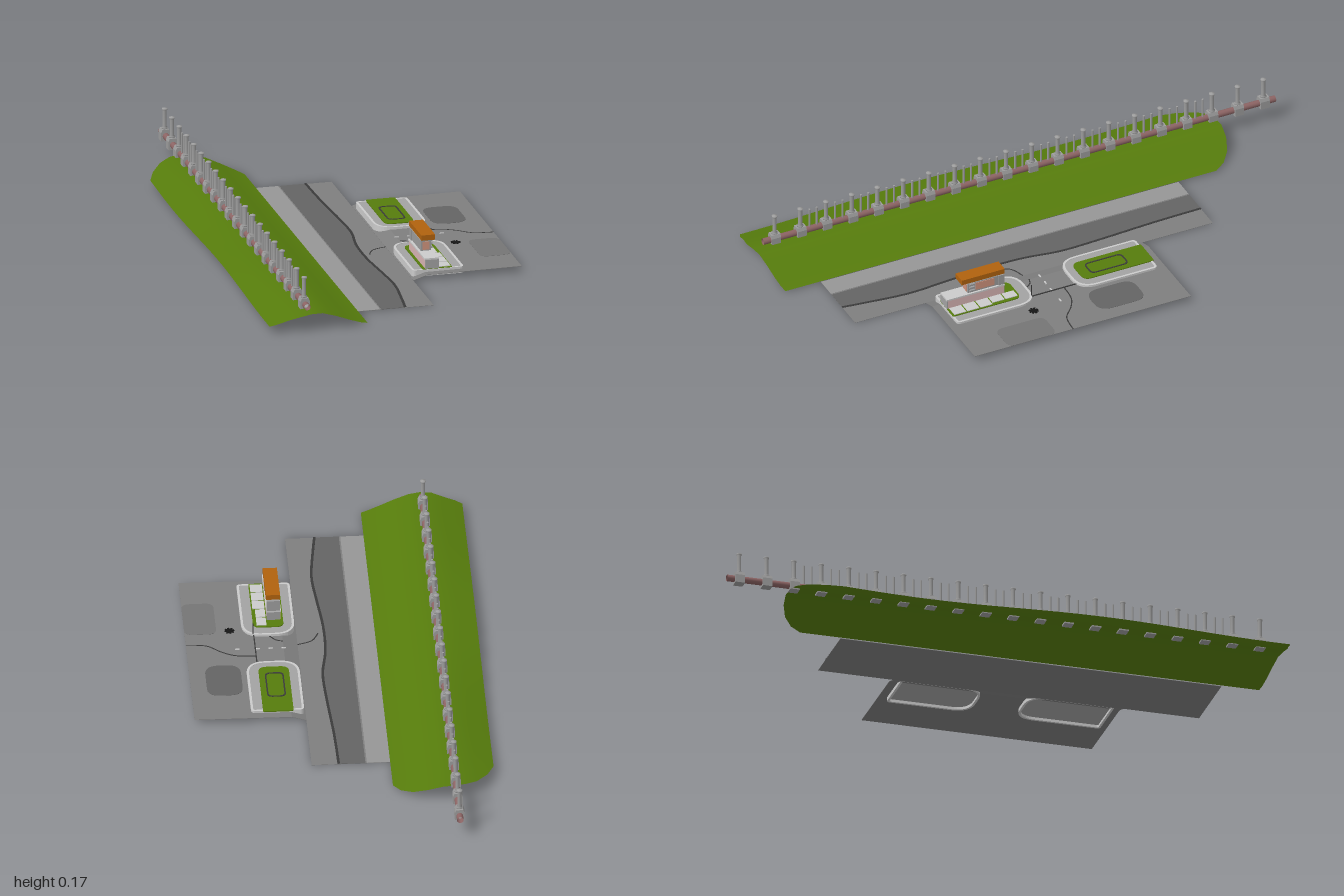
import * as THREE from 'three';

const mat = (color) => new THREE.MeshStandardMaterial({ color, side: THREE.DoubleSide });
const M = {
  grass: mat(0x567c0c), walk: mat(0x969696), road: mat(0x646464), pave: mat(0x7e7e7e),
  line: mat(0x3a3a3a), curb: mat(0xa2a2a2), light: mat(0xcccccc), stone: mat(0x9c9c9c),
  pink: mat(0xd8b4b4), panel: mat(0xcf937c), rail: mat(0x8c6464), roof: mat(0xb0620e), black: mat(0x151515),
};

function add(parent, name, geometry, material, x = 0, y = 0, z = 0) {
  const m = new THREE.Mesh(geometry, material);
  m.name = name;
  m.position.set(x, y, z);
  parent.add(m);
  return m;
}

// box given by its limits
function box(parent, name, material, x0, x1, y0, y1, z0, z1) {
  return add(parent, name, new THREE.BoxGeometry(x1 - x0, y1 - y0, z1 - z0), material,
    (x0 + x1) / 2, (y0 + y1) / 2, (z0 + z1) / 2);
}

// flat slab from a plan outline in x and z, with its upper face at top
function slab(parent, name, material, shape, top, depth = 0.001) {
  const g = new THREE.ExtrudeGeometry(shape, { depth, bevelEnabled: false, curveSegments: 10 });
  g.rotateX(Math.PI / 2);
  return add(parent, name, g, material, 0, top, 0);
}

const outline = (pts) => new THREE.Shape(pts.map(([x, z]) => new THREE.Vector2(x, z)));

// plan rectangle with rounding r0 at its z0 end and r1 at its z1 end
function rounded(x0, x1, z0, z1, r0, r1, Type = THREE.Shape) {
  const s = new Type();
  s.moveTo(x0 + r0, z0);
  s.lineTo(x1 - r0, z0);
  s.quadraticCurveTo(x1, z0, x1, z0 + r0);
  s.lineTo(x1, z1 - r1);
  s.quadraticCurveTo(x1, z1, x1 - r1, z1);
  s.lineTo(x0 + r1, z1);
  s.quadraticCurveTo(x0, z1, x0, z1 - r1);
  s.lineTo(x0, z0 + r0);
  s.quadraticCurveTo(x0, z0, x0 + r0, z0);
  return s;
}

// smooth curve through plan points, and a flat ribbon along it
const smooth = (pts, n = 36) => new THREE.SplineCurve(pts.map(([x, z]) => new THREE.Vector2(x, z))).getPoints(n);
function ribbon(parent, name, material, pts, width, top) {
  const c = smooth(pts);
  const side = (s) => c.map((p, i) => {
    const a = c[Math.max(i - 1, 0)], b = c[Math.min(i + 1, c.length - 1)];
    const d = b.clone().sub(a).normalize().multiplyScalar(s * width / 2);
    return new THREE.Vector2(p.x - d.y, p.y + d.x);
  });
  return slab(parent, name, material, new THREE.Shape([...side(1), ...side(-1).reverse()]), top);
}

// grassy bank: columns of x, height, back end and front end
function bank() {
  const cols = [
    [-0.505, 0.030, -0.62, 0.975], [-0.48, 0.037, -0.68, 0.985], [-0.44, 0.048, -0.735, 0.99],
    [-0.40, 0.058, -0.762, 1.0], [-0.36, 0.062, -0.773, 0.997], [-0.32, 0.060, -0.775, 0.99],
    [-0.27, 0.044, -0.768, 0.985], [-0.22, 0.024, -0.748, 0.98], [-0.18, 0.010, -0.715, 0.975],
    [-0.155, 0.004, -0.675, 0.97],
  ];
  const rows = 24;
  const g = new THREE.PlaneGeometry(1, 1, cols.length - 1, rows);
  const p = g.attributes.position;
  for (let j = 0, k = 0; j <= rows; j++) {
    for (const [x, y, z0, z1] of cols) {
      const z = z0 + (z1 - z0) * j / rows;
      const edge = Math.max(0, (-0.36 - x) / 0.145);
      p.setXYZ(k++, x, y + 0.008 * edge * Math.sin(z * 5), z);
    }
  }
  g.computeVertexNormals();
  return g;
}

export function createModel() {
  const model = new THREE.Group();
  add(model, 'grassBank', bank(), M.grass);

  // road and footpath
  const road = new THREE.Group();
  road.name = 'road';
  model.add(road);
  const Z0 = -0.53, Z1 = 0.835;
  slab(road, 'verge', M.pave, rounded(-0.155, 0.115, Z0, Z1, 0, 0), 0.001);
  slab(road, 'footpath', M.walk, rounded(-0.155, -0.075, Z0, Z1, 0, 0), 0.002);
  const wave = [[0.022, Z0], [0.026, -0.35], [0.038, -0.12], [0.04, 0.02], [0.022, 0.15],
    [0.02, 0.3], [0.033, 0.47], [0.04, 0.6], [0.025, 0.75], [0.014, Z1]];
  const edge = smooth(wave);
  slab(road, 'carriageway', M.road,
    new THREE.Shape([new THREE.Vector2(-0.07, Z0), ...edge, new THREE.Vector2(-0.07, Z1)]), 0.002);
  ribbon(road, 'roadEdge', M.line, wave, 0.009, 0.0035);

  // forecourt with a ramp down to the road
  const court = new THREE.Group();
  court.name = 'forecourt';
  model.add(court);
  const profile = outline([[0.115, 0.002], [0.165, 0.018], [0.5, 0.021], [0.5, 0.0195], [0.165, 0.0165], [0.115, 0.0005]]);
  add(court, 'paving', new THREE.ExtrudeGeometry(profile, { depth: 0.825, bevelEnabled: false }), M.pave, 0, 0, -0.26);
  slab(court, 'darkPatch', M.road, rounded(0.322, 0.445, -0.12, 0.06, 0.045, 0.05), 0.0215);
  slab(court, 'wornPatch', mat(0x757575), rounded(0.39, 0.5, 0.25, 0.435, 0.03, 0.03), 0.0215);
  ribbon(court, 'entryLine', M.line, [[0.26, 0.11], [0.33, 0.115], [0.38, 0.14], [0.43, 0.18], [0.5, 0.19]], 0.004, 0.0218);
  ribbon(road, 'entryEdge', M.line, [[0.04, 0.26], [0.065, 0.215], [0.115, 0.195]], 0.004, 0.003);
  ribbon(court, 'rampEdge', M.line, [[0.165, 0.195], [0.19, 0.205], [0.21, 0.23]], 0.004, 0.02);
  for (const x of [0.165, 0.21, 0.255, 0.325]) {
    box(court, 'laneDash', M.light, x - 0.008, x + 0.008, 0.019, 0.0215, 0.152, 0.157);
  }

  // two kerbed islands, rounded towards the entry
  for (const [name, z0, z1, r0, r1] of [['backIsland', -0.23, 0.068, 0.015, 0.07], ['frontIsland', 0.228, 0.535, 0.07, 0.015]]) {
    const island = new THREE.Group();
    island.name = name;
    model.add(island);
    const b = (t) => [0.12 + t, 0.303 - t, z0 + t, z1 - t, Math.max(r0 - t, 0.005), Math.max(r1 - t, 0.005)];
    const kerb = rounded(...b(0));
    kerb.holes.push(rounded(...b(0.008), THREE.Path));
    slab(island, 'kerb', M.light, kerb, 0.027, 0.023);
    slab(island, 'islandPaving', M.curb, rounded(...b(0.007)), 0.0255, 0.012);
  }
  slab(model, 'lawn', M.grass, rounded(0.157, 0.262, -0.235, 0.032, 0.008, 0.03), 0.0285, 0.004);
  const bed = rounded(0.177, 0.242, -0.15, -0.005, 0.02, 0.02);
  bed.holes.push(rounded(0.182, 0.237, -0.145, -0.01, 0.017, 0.017, THREE.Path));
  slab(model, 'lawnBorder', M.line, bed, 0.03, 0.002);
  slab(model, 'frontLawn', M.grass, rounded(0.157, 0.262, 0.272, 0.533, 0.025, 0.005), 0.0285, 0.004);

  // kiosk: plinth, cabin, roof and paving tiles
  const kiosk = new THREE.Group();
  kiosk.name = 'kiosk';
  model.add(kiosk);
  box(kiosk, 'plinth', M.pink, 0.166, 0.213, 0.025, 0.06, 0.315, 0.53);
  box(kiosk, 'plinthTop', M.light, 0.164, 0.215, 0.06, 0.066, 0.312, 0.533);
  box(kiosk, 'plinthEnd', M.curb, 0.166, 0.214, 0.026, 0.061, 0.528, 0.533);
  box(kiosk, 'cabin', M.stone, 0.172, 0.208, 0.066, 0.106, 0.335, 0.45);
  box(kiosk, 'frontPanel', M.panel, 0.178, 0.202, 0.07, 0.098, 0.449, 0.453);
  box(kiosk, 'sidePanel', M.panel, 0.206, 0.21, 0.072, 0.1, 0.35, 0.42);
  box(kiosk, 'rearWall', M.stone, 0.168, 0.213, 0.026, 0.106, 0.312, 0.335);
  box(kiosk, 'cabinTop', M.light, 0.17, 0.212, 0.106, 0.112, 0.33, 0.455);
  box(kiosk, 'roof', M.roof, 0.167, 0.216, 0.112, 0.131, 0.313, 0.477);
  for (const y of [0.075, 0.088, 0.1]) {
    box(kiosk, 'sideLedge', M.stone, 0.206, 0.215, y - 0.003, y + 0.003, 0.425, 0.445);
  }
  for (let i = 0; i < 5; i++) {
    const z = 0.28 + i * 0.05;
    box(kiosk, 'pavingTile', M.light, 0.216, 0.25 + (i > 1 ? 0.008 : 0), 0.026, 0.031, z, z + 0.045);
  }

  // entry gate and a small plant on the forecourt
  box(model, 'gateLine', M.line, 0.261, 0.265, 0.02, 0.0225, 0.06, 0.235);
  add(model, 'gatePost', new THREE.CylinderGeometry(0.0015, 0.0015, 0.048, 8), M.line, 0.265, 0.046, 0.235);
  for (let i = 0; i < 4; i++) {
    const leaf = add(model, 'plantLeaf', new THREE.BoxGeometry(0.034, 0.002, 0.007), M.black, 0.345, 0.0225, 0.265);
    leaf.rotation.y = i * Math.PI / 4 + 0.2;
  }

  // fence: open pipe with footed columns and slender bars between
  const fence = new THREE.Group();
  fence.name = 'fence';
  fence.position.x = -0.365;
  model.add(fence);
  const pipe = new THREE.CylinderGeometry(0.0115, 0.0115, 1.955, 16, 1, true).rotateX(Math.PI / 2);
  add(fence, 'pipe', pipe, M.rail, 0, 0.074, -0.0225);
  const foot = outline([[-0.017, 0.056], [0.017, 0.056], [0.017, 0.085], [0.012, 0.097], [-0.012, 0.097], [-0.017, 0.085]]);
  foot.holes.push(new THREE.Path().absarc(0, 0.074, 0.011, 0, Math.PI * 2, true));
  const footGeo = new THREE.ExtrudeGeometry(foot, { depth: 0.034, bevelEnabled: false, curveSegments: 8 }).translate(0, 0, -0.017);
  const column = new THREE.LatheGeometry([[0, 0.096], [0.011, 0.096], [0.011, 0.101], [0.0075, 0.104], [0.0075, 0.163],
    [0.0098, 0.165], [0.0098, 0.17], [0, 0.173]].map(([r, y]) => new THREE.Vector2(r, y)), 12);
  const bar = new THREE.CylinderGeometry(0.004, 0.004, 0.078, 8);
  for (let i = 0; i < 20; i++) {
    const z = 0.91 - i * 0.0982;
    add(fence, 'postFoot', footGeo, M.stone, 0, 0, z);
    add(fence, 'postColumn', column, M.stone, 0, 0, z);
    if (i > 0 && i < 17) {
      for (const d of [0.035, 0.063]) add(fence, 'fenceBar', bar, M.stone, 0, 0.117, z - d);
    }
  }
  return model;
}
